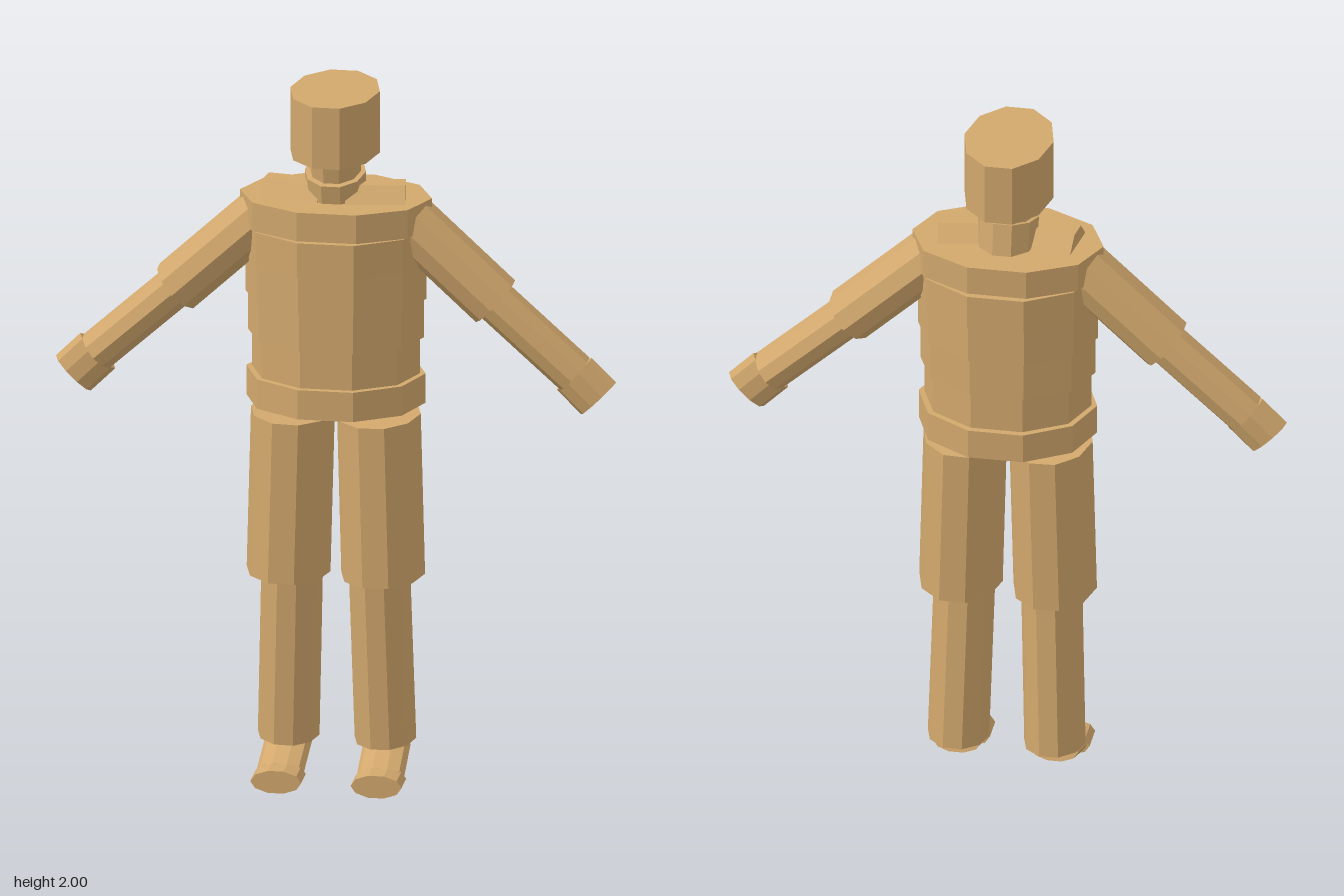
import * as THREE from 'three';

const tan = new THREE.MeshStandardMaterial({ color: 0xd2a86d, flatShading: true });
tan.name = 'tan';

const X = [1, 0, 0], Z = [0, 0, 1];
const FLAT = Math.sin(Math.PI * 0.4); // reach of a decagon across its flat sides

// Ten-sided elliptical prism from a to b; its corners point along u.
// ru is the half width along u, rw the half width across it.
function prism(name, a, b, u, ru, rw) {
  const A = new THREE.Vector3(...a), B = new THREE.Vector3(...b);
  const dir = B.clone().sub(A), length = dir.length();
  dir.normalize();
  const U = new THREE.Vector3(...u);
  U.addScaledVector(dir, -U.dot(dir)).normalize();
  const W = new THREE.Vector3().crossVectors(U, dir);
  const geo = new THREE.CylinderGeometry(1, 1, length, 10, 1, false, Math.PI / 2);
  geo.scale(ru, 1, rw / FLAT);
  geo.applyMatrix4(new THREE.Matrix4().makeBasis(U, dir, W));
  const mid = A.add(B).multiplyScalar(0.5);
  geo.translate(mid.x, mid.y, mid.z);
  const mesh = new THREE.Mesh(geo, tan);
  mesh.name = name;
  return mesh;
}

export function createModel() {
  const model = new THREE.Group();
  model.name = 'blockFigure';

  // Head and forward-leaning neck
  model.add(
    prism('head', [0, 1.822, 0.017], [0, 2, 0.017], X, 0.125, 0.167),
    prism('upperNeck', [0, 1.73, 0.0], [0, 1.82, 0.016], X, 0.071, 0.08),
    prism('lowerNeck', [0, 1.65, -0.013], [0, 1.762, 0.009], X, 0.085, 0.095)
  );

  // Stacked torso: bottom, top, half width, half depth
  const torso = [
    ['hips', 1.095, 1.18, 0.25, 0.198],
    ['waist', 1.18, 1.285, 0.234, 0.18],
    ['belly', 1.285, 1.397, 0.245, 0.18],
    ['ribs', 1.397, 1.507, 0.252, 0.188],
    ['chest', 1.507, 1.607, 0.255, 0.198],
    ['upperChest', 1.607, 1.69, 0.268, 0.18],
  ];
  for (const [name, y0, y1, rx, rz] of torso) {
    model.add(prism(name, [0, y0, 0], [0, y1, 0], X, rx, rz));
  }

  // Limbs, mirrored left and right
  for (const [side, s] of [['left', 1], ['right', -1]]) {
    const add = (name, a, b, u, ru, rw) => model.add(
      prism(side + name, [a[0] * s, a[1], a[2]], [b[0] * s, b[1], b[2]], u, ru, rw));

    // Shoulder and arm
    add('Collar', [0.03, 1.6, 0.025], [0.195, 1.6, 0.001], Z, 0.09, 0.134);
    add('UpperArm', [0.195, 1.632, 0], [0.445, 1.4, 0], Z, 0.09, 0.074);
    add('Forearm', [0.43, 1.414, 0], [0.667, 1.2, 0], Z, 0.071, 0.056);
    add('Hand', [0.665, 1.2, 0], [0.733, 1.132, 0], [s, 1, 0], 0.069, 0.034);

    // Leg and foot
    add('Thigh', [0.12, 1.06, 0.002], [0.132, 0.595, 0.002], X, 0.117, 0.142);
    add('Shin', [0.122, 0.6, 0.003], [0.135, 0.11, -0.02], X, 0.086, 0.099);
    add('Foot', [0.137, 0.088, -0.034], [0.14, 0.036, 0.106], X, 0.066, 0.03);
    add('Toes', [0.14, 0.032, 0.1], [0.14, 0.032, 0.185], X, 0.071, 0.032);
  }
  return model;
}
